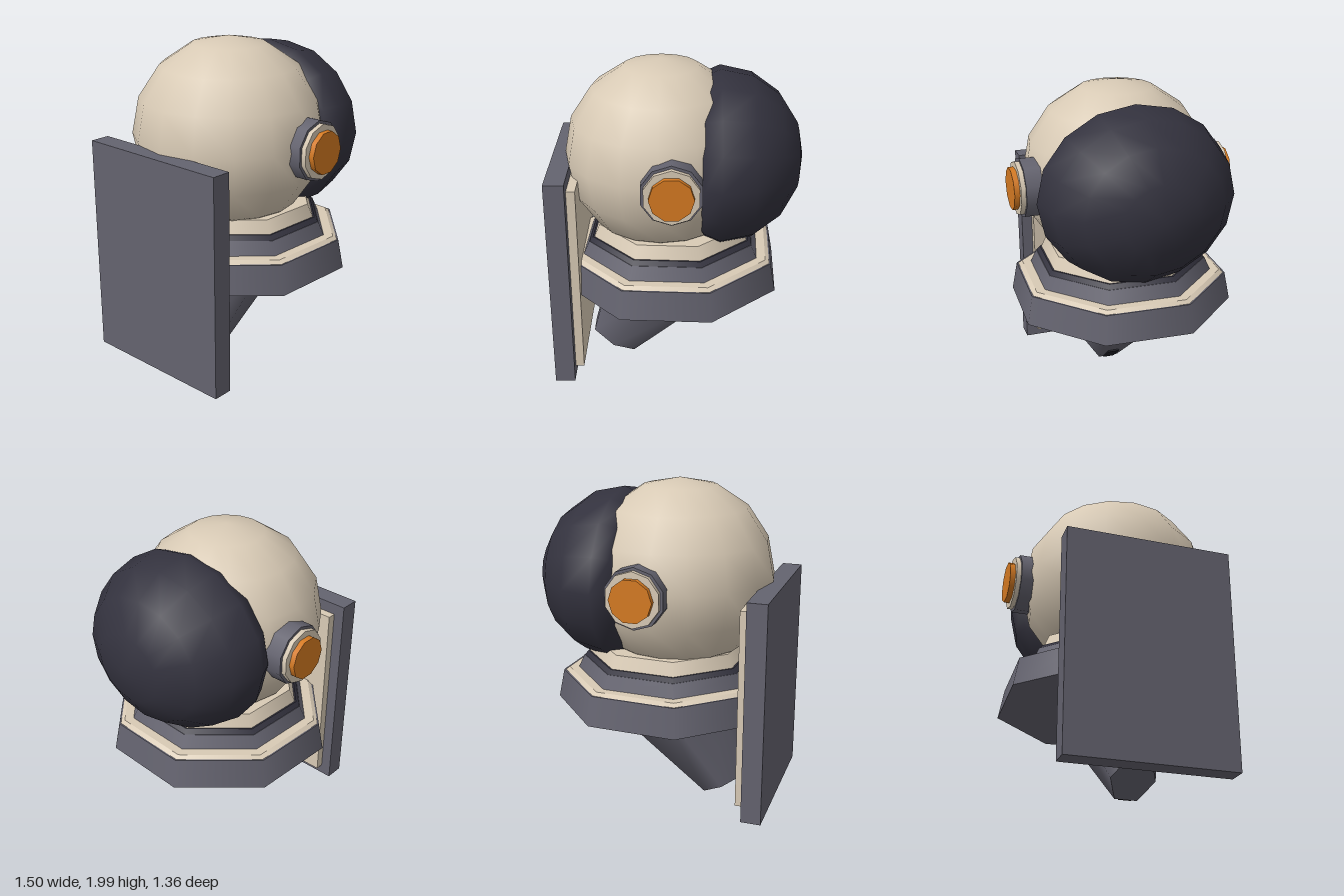
import * as THREE from 'three';

function paint(name, hex) {
  const m = new THREE.MeshStandardMaterial({ color: hex });
  m.name = name;
  return m;
}

export function createModel() {
  const cream = paint('cream', 0xd8cab5);
  const grey = paint('slate grey', 0x64636f);
  const dark = paint('dark visor', 0x33323e);
  const orange = paint('orange', 0xd57a22);
  const black = paint('vent black', 0x1e1d26);

  const model = new THREE.Group();
  model.name = 'helmetedBot';

  function add(parent, name, geometry, material, x, y, z) {
    const mesh = new THREE.Mesh(geometry, material);
    mesh.name = name;
    mesh.position.set(x, y, z);
    parent.add(mesh);
    return mesh;
  }

  // Helmet
  add(model, 'helmet', new THREE.SphereGeometry(0.58, 16, 8), cream, -0.1, 1.42, 0);

  // Visor: a deep front half and a shallow back half, poles along x
  const visor = new THREE.Group();
  visor.name = 'visor';
  visor.position.set(0.25, 1.4, 0);
  model.add(visor);
  const halves = [['visorFront', 0, 0.5], ['visorBack', Math.PI / 2, 0.25]];
  for (const [name, start, depth] of halves) {
    const g = new THREE.SphereGeometry(1, 16, 4, 0, Math.PI * 2, start, Math.PI / 2);
    g.rotateZ(-Math.PI / 2);
    add(visor, name, g, dark, 0, 0, 0).scale.set(depth, 0.53, 0.59);
  }

  // Ear discs on both sides: [name, radius, inner z, outer z, material, turn]
  const discs = [
    ['earRing', 0.18, 0.44, 0.62, grey, 0],
    ['earPad', 0.163, 0.6, 0.648, cream, 0],
    ['earLamp', 0.127, 0.63, 0.68, orange, Math.PI / 10],
  ];
  for (const side of [1, -1]) {
    const ear = new THREE.Group();
    ear.name = side > 0 ? 'frontEar' : 'backEar';
    model.add(ear);
    for (const [name, r, z0, z1, material, turn] of discs) {
      const g = new THREE.CylinderGeometry(r, r, z1 - z0, 10);
      g.rotateY(turn).rotateX(Math.PI / 2);
      add(ear, name, g, material, -0.03, 1.41, side * (z0 + z1) / 2);
    }
  }

  // Stacked octagonal collar: [name, bottom y, top y, bottom r, top r, material]
  const collar = new THREE.Group();
  collar.name = 'collar';
  collar.position.x = -0.04;
  collar.rotation.y = 0.35;
  model.add(collar);
  const tiers = [
    ['collarBase', 0.62, 0.797, 0.7, 0.665, grey],
    ['collarTrim', 0.797, 0.815, 0.655, 0.63, cream],
    ['collarStep', 0.815, 0.895, 0.572, 0.535, grey],
    ['collarSeal', 0.895, 0.922, 0.532, 0.51, dark],
    ['neck', 0.922, 1.0, 0.5, 0.465, cream],
  ];
  for (const [name, y0, y1, r0, r1, material] of tiers) {
    add(collar, name, new THREE.CylinderGeometry(r1, r0, y1 - y0, 8), material, 0, (y0 + y1) / 2, 0);
  }

  // Tilted, tapered six-sided body
  const body = add(model, 'body', new THREE.CylinderGeometry(0.388, 0.173, 0.624, 6), grey, -0.258, 0.357, 0);
  body.scale.z = 0.75;
  body.rotation.z = -0.546;

  // Small vent near the body's tip
  add(model, 'vent', new THREE.BoxGeometry(0.15, 0.02, 0.075), black, -0.227, 0.072, 0).rotation.z = 0.731;

  // Back pack slab with inset pad
  add(model, 'backPanel', new THREE.BoxGeometry(0.12, 1.335, 0.98), grey, -0.695, 0.7425, 0);
  add(model, 'backPad', new THREE.BoxGeometry(0.06, 1.2, 0.845), cream, -0.613, 0.74, 0);

  return model;
}
